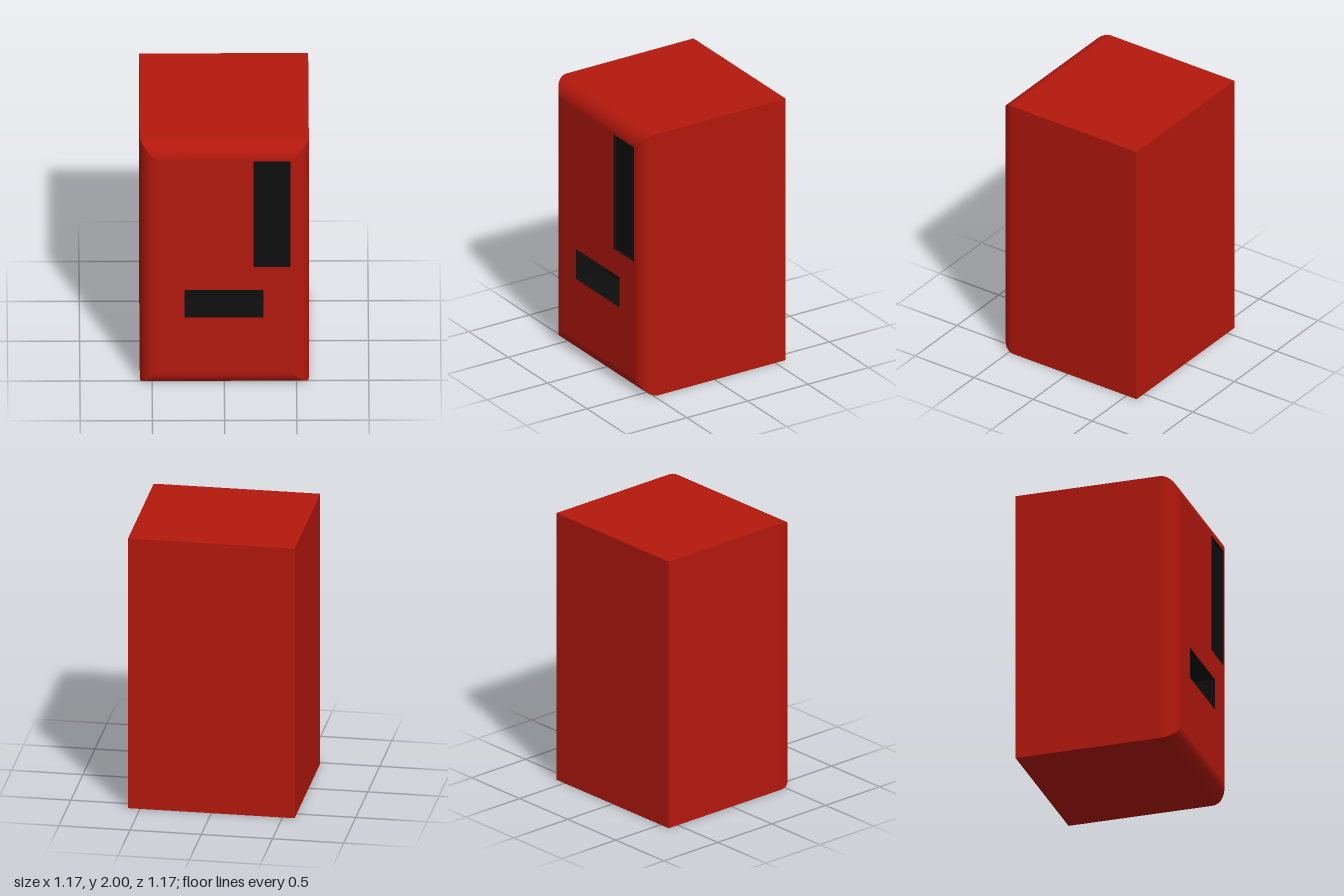
import * as THREE from 'three';

const W = 0.585, H = 1, D = 0.585, R = 0.12, STEPS = 8;

// One side of the cabinet: straight wall, then a quarter-round into the front, mitred at both ends.
// half = half length of the wall, out = distance of the wall from the centre axis.
function sideGeometry(half, out) {
  const pos = [], nor = [], idx = [];
  const row = (inset, z, a) => {
    for (const s of [-1, 1]) {
      pos.push(s * (half - inset), out - inset, z);
      nor.push(0, Math.cos(a), Math.sin(a));
    }
  };
  row(0, -D, 0);
  for (let i = 0; i <= STEPS; i++) {
    const a = (i / STEPS) * Math.PI / 2;
    row(R * (1 - Math.cos(a)), D - R + R * Math.sin(a), a);
  }
  for (let i = 0; i <= STEPS; i++) {
    const k = i * 2;
    idx.push(k, k + 2, k + 1, k + 1, k + 2, k + 3);
  }
  const g = new THREE.BufferGeometry();
  g.setAttribute('position', new THREE.Float32BufferAttribute(pos, 3));
  g.setAttribute('normal', new THREE.Float32BufferAttribute(nor, 3));
  g.setIndex(idx);
  return g;
}

// Open-fronted pocket whose faces look inward
function pocketGeometry({ x0, x1, y0, y1, depth }) {
  const g = new THREE.BoxGeometry(x1 - x0, y1 - y0, depth);
  const idx = Array.from(g.index.array);
  idx.splice(24, 6); // drop the front face
  g.setIndex(idx.reverse());
  g.clearGroups();
  const n = g.attributes.normal;
  for (let i = 0; i < n.count; i++) n.setXYZ(i, -n.getX(i), -n.getY(i), -n.getZ(i));
  return g.translate((x0 + x1) / 2, (y0 + y1) / 2, D - depth / 2);
}

export function createModel() {
  const model = new THREE.Group();
  model.name = 'vendingMachine';
  const red = new THREE.MeshStandardMaterial({ color: 0xb3180d });
  const black = new THREE.MeshStandardMaterial({ color: 0x0e0e0e });
  const add = (name, geometry, material) => {
    const mesh = new THREE.Mesh(geometry, material);
    mesh.name = name;
    model.add(mesh);
    return mesh;
  };

  const pockets = [
    { name: 'controlPanelRecess', x0: 0.2, x1: 0.457, y0: 1.0, y1: 1.875, depth: 0.025 },
    { name: 'dispenserTray', x0: -0.277, x1: 0.272, y0: 0.58, y1: 0.81, depth: 0.24 },
  ];

  // Cabinet walls: top, left, bottom, right
  ['top', 'rightSide', 'bottom', 'leftSide'].forEach((name, i) => {
    const g = i % 2 ? sideGeometry(H, W) : sideGeometry(W, H);
    add(name, g.rotateZ(i * Math.PI / 2).translate(0, H, 0), red);
  });

  // Flat back
  add('back', new THREE.PlaneGeometry(2 * W, 2 * H).rotateY(Math.PI).translate(0, H, -D), red);

  // Front face with openings for the pockets
  const rect = (path, x0, x1, y0, y1) =>
    path.moveTo(x0, y0).lineTo(x1, y0).lineTo(x1, y1).lineTo(x0, y1).closePath();
  const front = new THREE.Shape();
  rect(front, R - W, W - R, R, 2 * H - R);
  for (const p of pockets) {
    const hole = new THREE.Path();
    rect(hole, p.x0, p.x1, p.y0, p.y1);
    front.holes.push(hole);
  }
  add('frontPanel', new THREE.ShapeGeometry(front).translate(0, 0, D), red);

  // Dark pockets behind the openings
  for (const p of pockets) add(p.name, pocketGeometry(p), black);

  return model;
}
